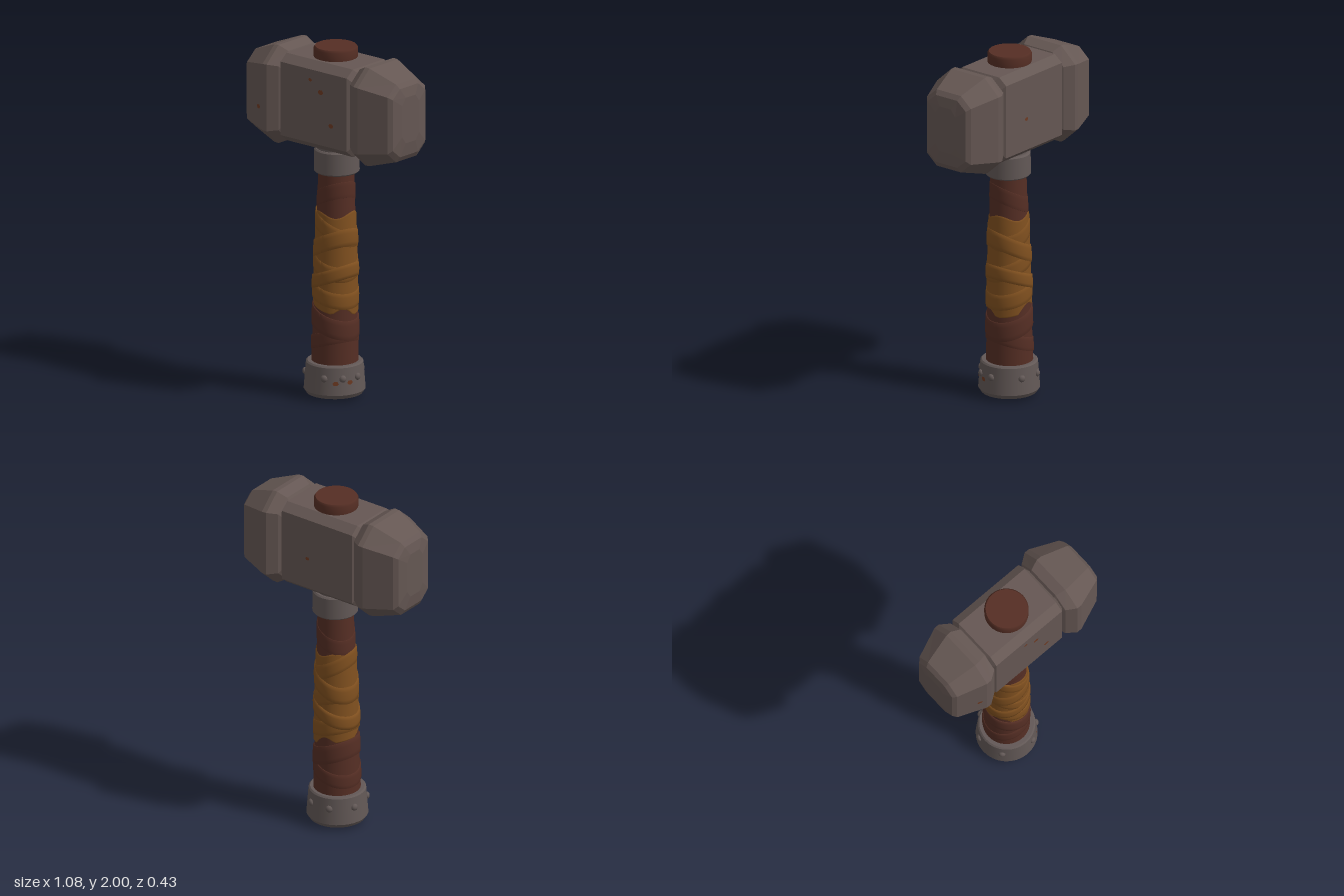
import * as THREE from 'three';

const mat = (name, color) => {
  const m = new THREE.MeshStandardMaterial({ color });
  m.name = name;
  return m;
};

export function createModel() {
  const model = new THREE.Group();
  model.name = 'hammer';
  const stone = mat('stone', 0x65575380 >>> 8);
  const metal = mat('iron', 0x625856);
  const leather = mat('brown leather', 0x552e24);
  const wrap = mat('ochre wrap', 0x80501f);
  const rust = mat('rust', 0x6e3a22);

  const add = (name, geo, material, x = 0, y = 0, z = 0, parent = model) => {
    const mesh = new THREE.Mesh(geo, material);
    mesh.name = name;
    mesh.position.set(x, y, z);
    parent.add(mesh);
    return mesh;
  };

  // Skin over rings of [x, y, z] points; rings run along +x, flat faces, closed ends
  const loft = (rings) => {
    const pos = [];
    const tri = (...p) => p.forEach((v) => pos.push(...v));
    const n = rings[0].length;
    for (let i = 0; i < rings.length - 1; i++) {
      for (let j = 0; j < n; j++) {
        const k = (j + 1) % n;
        const a = rings[i], b = rings[i + 1];
        tri(a[j], a[k], b[j]);
        tri(a[k], b[k], b[j]);
      }
    }
    const first = rings[0], last = rings[rings.length - 1];
    for (let j = 1; j < n - 1; j++) {
      tri(first[0], first[j + 1], first[j]);
      tri(last[0], last[j], last[j + 1]);
    }
    const geo = new THREE.BufferGeometry();
    geo.setAttribute('position', new THREE.Float32BufferAttribute(pos, 3));
    geo.computeVertexNormals();
    return geo;
  };

  // Chamfered rectangle across the head: half depth, bottom, top, chamfer in z and y
  const section = (x, hz, y0, y1, cz, cy) => [
    [x, y1, -hz + cz], [x, y1, hz - cz], [x, y1 - cy, hz], [x, y0 + cy, hz],
    [x, y0, hz - cz], [x, y0, -hz + cz], [x, y0 + cy, -hz], [x, y1 - cy, -hz],
  ];

  // Middle block of the head
  add('headBlock', loft([
    section(-0.265, 0.155, 1.465, 1.915, 0.05, 0.04),
    section(-0.245, 0.18, 1.44, 1.94, 0.05, 0.04),
    section(0.235, 0.18, 1.44, 1.94, 0.05, 0.04),
    section(0.255, 0.155, 1.465, 1.915, 0.05, 0.04),
  ]), stone);

  // Faceted striking ends, widest close to the block
  const stations = [
    [0.25, 0.165, 1.45, 1.92, 0.07, 0.07],
    [0.26, 0.18, 1.435, 1.94, 0.08, 0.07],
    [0.315, 0.217, 1.405, 1.967, 0.10, 0.09],
    [0.345, 0.217, 1.407, 1.965, 0.10, 0.09],
    [0.51, 0.155, 1.455, 1.9, 0.07, 0.06],
    [0.53, 0.135, 1.485, 1.875, 0.06, 0.05],
    [0.542, 0.07, 1.56, 1.82, 0.03, 0.04],
  ];
  add('leftStrikingEnd', loft(stations.map((s) => section(...s))), stone);
  add('rightStrikingEnd', loft(stations.map(([x, ...r]) => section(-x, ...r)).reverse()), stone);

  // Lathed round parts
  const lathe = (name, pts, material, x, z, sides = 32) => {
    const mesh = add(name, new THREE.LatheGeometry(pts.map((p) => new THREE.Vector2(...p)), sides), material, x, 0, z);
    const g = mesh.geometry.toNonIndexed();
    mesh.geometry = g;
    return mesh;
  };
  lathe('handleTop', [[0.118, 1.92], [0.122, 1.945], [0.122, 1.988], [0.114, 2], [0.114, 2], [0, 2]], leather, -0.006, -0.006);
  lathe('neck', [[0.108, 1.4], [0.108, 1.45]], metal, 0, 0);
  lathe('collar', [[0, 1.285], [0.118, 1.285], [0.118, 1.285], [0.126, 1.293], [0.126, 1.293], [0.124, 1.412], [0.124, 1.412], [0.116, 1.42], [0.116, 1.42], [0, 1.42]], metal, 0.003, -0.003);

  // Tapered grip
  const gripRadius = (y) => 0.13 - 0.031 * (y - 0.2) / 1.09;
  const gripX = (y) => -0.01 * (1.29 - y) / 1.09;

  // Sleeve round the grip between two wavy edges
  const sleeve = (name, low, high, lift, material) => {
    const pos = [], idx = [], n = 40;
    const rows = [[0, 0], [0.015, lift], [0.25, lift * 1.1], [0.5, lift * 1.25], [0.75, lift * 1.1], [0.985, lift], [1, 0]];
    rows.forEach(([t, up]) => {
      for (let j = 0; j <= n; j++) {
        const a = (j / n) * Math.PI * 2;
        const y = THREE.MathUtils.lerp(low(a), high(a), t);
        const r = gripRadius(y) + up;
        pos.push(gripX(y) + r * Math.sin(a), y, r * Math.cos(a) - 0.003);
      }
    });
    for (let i = 0; i < rows.length - 1; i++) {
      for (let j = 0; j < n; j++) {
        const a = i * (n + 1) + j, b = a + n + 1;
        idx.push(a, a + 1, b, a + 1, b + 1, b);
      }
    }
    const geo = new THREE.BufferGeometry();
    geo.setAttribute('position', new THREE.Float32BufferAttribute(pos, 3));
    geo.setIndex(idx);
    geo.computeVertexNormals();
    add(name, geo, material);
  };
  sleeve('grip', () => 0.19, () => 1.3, 0, leather);
  sleeve('gripWrap',
    (a) => 0.51 - 0.03 * Math.sin(a) + 0.04 * Math.max(0, Math.cos(3 * (a - 1.1))),
    (a) => 1.055 + 0.015 * Math.cos(3 * a + 1), 0.005, wrap);

  // Slanted straps: [height, width, slant, direction, lift]
  const straps = (name, list, material) => list.forEach(([y, w, slant, phase, lift]) => {
    const mid = (a) => y + slant * Math.sin(a + phase);
    sleeve(name, (a) => mid(a) - w / 2, (a) => mid(a) + w / 2, lift, material);
  });
  straps('wrapStrap', [
    [0.60, 0.09, -0.035, 0.2, 0.009],
    [0.69, 0.08, 0.05, 0, 0.012],
    [0.77, 0.09, -0.05, 0.5, 0.009],
    [0.87, 0.10, 0.06, 0.3, 0.011],
    [0.97, 0.09, -0.06, -0.3, 0.008],
  ], wrap);
  straps('leatherStrap', [
    [0.33, 0.08, 0.045, 0.3, 0.005],
    [0.44, 0.11, -0.045, 0, 0.007],
  ], leather);
  straps('upperLeatherStrap', [[1.15, 0.09, 0.05, 0.4, 0.003]], leather);

  // Pommel with a shallow chipped base
  const pommelX = -0.01;
  lathe('pommel', [
    [0, 0.002], [0.09, 0.008], [0.155, 0.022], [0.155, 0.022], [0.17, 0.045], [0.17, 0.045],
    [0.158, 0.198], [0.158, 0.198], [0.15, 0.206], [0.15, 0.206], [0.12, 0.206],
  ], metal, pommelX, 0);

  // Studs round the pommel
  const stud = new THREE.SphereGeometry(0.02, 10, 8);
  [0.35, 1.0, 1.6, 2.7, 3.5, 4.4, 5.4].forEach((a) => {
    const m = add('pommelStud', stud, metal, pommelX + 0.162 * Math.sin(a), 0.138, 0.162 * Math.cos(a));
    m.rotation.y = a;
    m.scale.z = 0.75;
  });

  // Rust flecks: [x, y, z, turn, radius]
  [
    [-0.03, 1.84, 0.181, 0, 0.013], [0.045, 1.782, 0.181, 0, 0.02], [0.12, 1.604, 0.181, 0, 0.018],
    [-0.385, 1.622, 0.2035, -0.36, 0.018], [0.06, 1.66, -0.181, Math.PI, 0.014],
    [pommelX + 0.166 * Math.sin(0.75), 0.112, 0.166 * Math.cos(0.75), 0.75, 0.018],
    [pommelX + 0.166 * Math.sin(1.25), 0.115, 0.166 * Math.cos(1.25), 1.25, 0.018],
  ].forEach(([x, y, z, turn, r]) => {
    const m = add('rustFleck', new THREE.CircleGeometry(r, 6), rust, x, y, z);
    m.rotation.y = turn;
    m.scale.y = 0.75;
  });

  return model;
}
